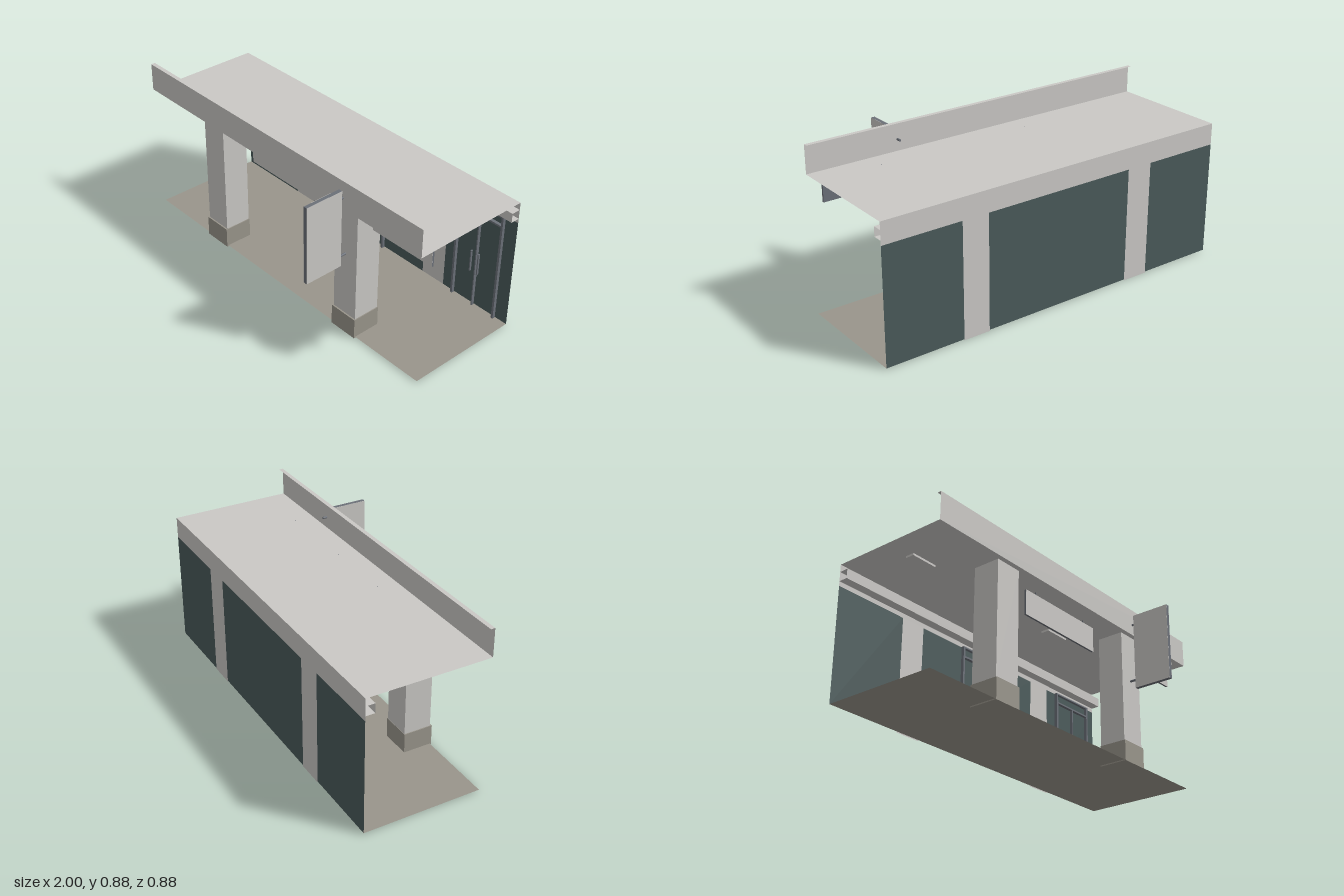
import * as THREE from 'three';

export function createModel() {
  const root = new THREE.Group();
  const mat = (name, color, side = THREE.DoubleSide) => {
    const m = new THREE.MeshStandardMaterial({ color, side });
    m.name = name;
    return m;
  };
  const stone = mat('pale stone', 0xcac8c5);
  const paving = mat('warm grey paving', 0x99958b);
  const metal = mat('blue grey metal', 0x6b7078);
  const glass = mat('dark green glass', 0x4a5a5a);

  const group = (name, parent = root) => {
    const g = new THREE.Group();
    g.name = name;
    parent.add(g);
    return g;
  };
  const add = (name, geo, material, parent) => {
    const m = new THREE.Mesh(geo, material);
    m.name = name;
    parent.add(m);
    return m;
  };
  // Box given by its limits on each axis
  const box = (name, material, [x0, x1], [y0, y1], [z0, z1], parent = root) => {
    const m = add(name, new THREE.BoxGeometry(x1 - x0, y1 - y0, z1 - z0), material, parent);
    m.position.set((x0 + x1) / 2, (y0 + y1) / 2, (z0 + z1) / 2);
    return m;
  };
  // Upright sheet facing +z
  const sheet = (name, material, [x0, x1], [y0, y1], z, parent = root) => {
    const m = add(name, new THREE.PlaneGeometry(x1 - x0, y1 - y0), material, parent);
    m.position.set((x0 + x1) / 2, (y0 + y1) / 2, z);
    return m;
  };
  // Level sheet facing up
  const level = (name, material, [x0, x1], y, [z0, z1], parent = root) => {
    const m = add(name, new THREE.PlaneGeometry(x1 - x0, z1 - z0), material, parent);
    m.rotation.x = -Math.PI / 2;
    m.position.set((x0 + x1) / 2, y, (z0 + z1) / 2);
    return m;
  };

  const W = [-1, 1], FLOOR = 0.006, BACK = -0.44, FRONT = 0.21, ROOF = 0.73, HEAD = 0.615;

  // Floor, canopy and parapet with its top lip
  level('floor', paving, W, FLOOR, [BACK, 0.187]);
  level('canopy', stone, W, ROOF, [BACK, FRONT]);
  sheet('parapet', stone, W, [ROOF, 0.88], FRONT);
  level('parapetLip', stone, W, 0.88, [0.187, FRONT]);

  // Back wall: glazing bays, pilasters, upper band and projecting ledge
  const wall = group('backWall');
  for (const bay of [[-1, -0.573], [-0.427, 0.427], [0.573, 1]])
    sheet('glazing', glass, bay, [FLOOR, HEAD], BACK, wall);
  for (const x of [-0.5, 0.5])
    sheet('pilaster', stone, [x - 0.073, x + 0.073], [0, HEAD], BACK, wall);
  sheet('upperBand', stone, W, [HEAD, ROOF], BACK, wall);
  sheet('ledgeFace', stone, W, [0.64, 0.69], -0.39, wall);
  for (const y of [0.64, 0.69]) level('ledgeReturn', stone, W, y, [BACK, -0.39], wall);

  // Front pillars on plinths
  for (const x of [-0.5, 0.5]) {
    const p = group('pillar');
    box('shaft', stone, [x - 0.076, x + 0.076], [0.112, 0.727], [0.04, 0.187], p);
    box('plinth', paving, [x - 0.081, x + 0.081], [0, 0.112], [0.038, 0.195], p);
  }

  // Double doors with frames and pull handles
  for (const x of [0, 0.785]) {
    const d = group('doubleDoor');
    const z = [-0.437, -0.42];
    for (const s of [-1, 1]) {
      const jx = x + s * 0.138, hx = x + s * 0.024;
      box('jamb', metal, [jx - 0.006, jx + 0.006], [FLOOR, HEAD], z, d);
      box('handle', metal, [hx - 0.003, hx + 0.003], [0.215, 0.338], [-0.42, -0.409], d);
    }
    box('meetingStile', metal, [x - 0.003, x + 0.003], [FLOOR, 0.553], z, d);
    box('transom', metal, [x - 0.132, x + 0.132], [0.553, 0.563], z, d);
    box('header', metal, [x - 0.132, x + 0.132], [0.607, HEAD], z, d);
  }

  // Ceiling lights
  for (const x of [-0.79, -0.225, 0.225, 0.79])
    box('ceilingLight', stone, [x - 0.075, x + 0.075], [0.716, 0.727], [-0.138, -0.088]);

  // Hanging signs: metal panel, pale front, two hanger rods
  for (const [x0, x1, y0, inset] of [[-0.277, 0.273, 0.577, 0.08], [0.6, 0.975, 0.62, 0.055]]) {
    const s = group('hangingSign');
    box('panel', metal, [x0, x1], [y0, 0.715], [0.101, 0.111], s);
    box('panelFront', stone, [x0, x1], [y0, 0.715], [0.111, 0.112], s);
    for (const x of [x0 + inset, x1 - inset])
      box('hanger', metal, [x - 0.003, x + 0.003], [0.715, ROOF], [0.104, 0.11], s);
  }

  // Projecting blade sign on two brackets
  const blade = group('bladeSign');
  const y = [0.415, 0.838], z = [0.225, 0.437];
  box('bladeBody', metal, [0.488, 0.508], y, z, blade);
  box('bladeFace', stone, [0.508, 0.509], y, z, blade);
  box('bladeFace', stone, [0.487, 0.488], y, z, blade);
  for (const by of [0.465, 0.79]) {
    const rod = add('bracket', new THREE.CylinderGeometry(0.006, 0.006, 0.038, 12), metal, blade);
    rod.rotation.x = Math.PI / 2;
    rod.position.set(0.498, by, 0.206);
  }

  return root;
}
